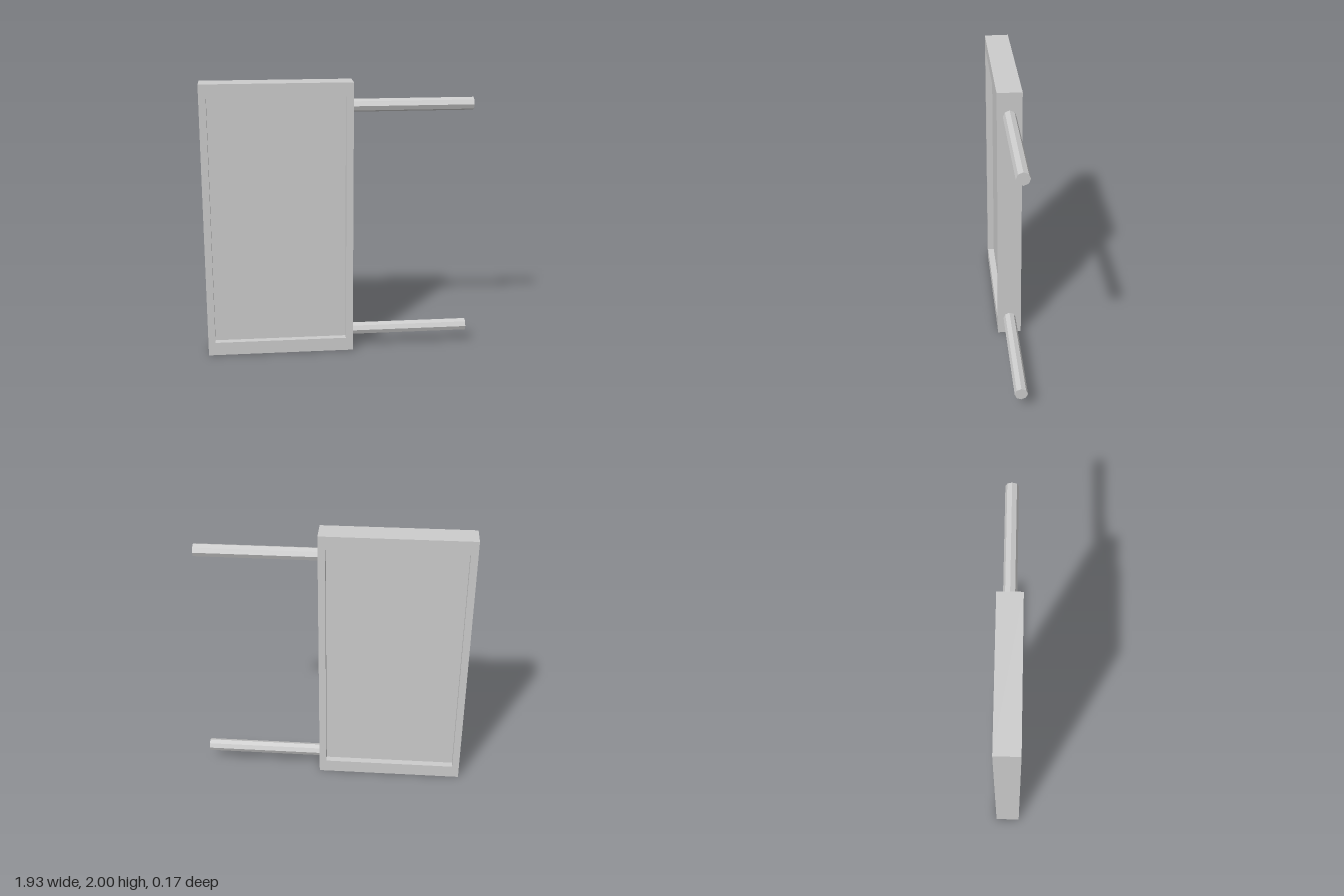
import * as THREE from 'three';

const material = new THREE.MeshStandardMaterial({ color: 0xcccccc, flatShading: true });

function addMesh(group, name, geometry, x, y, z = 0) {
  const mesh = new THREE.Mesh(geometry, material);
  mesh.name = name;
  mesh.position.set(x, y, z);
  group.add(mesh);
  return mesh;
}

// Closed rectangular outline around the origin
function rectangle(Type, w, h) {
  return new Type().setFromPoints([
    new THREE.Vector2(-w / 2, -h / 2), new THREE.Vector2(w / 2, -h / 2),
    new THREE.Vector2(w / 2, h / 2), new THREE.Vector2(-w / 2, h / 2),
  ]);
}

export function createModel() {
  const model = new THREE.Group();
  model.name = 'bracketMountedPanel';

  const depth = 0.174, recess = 0.048;
  const centerX = -0.43, width = 1.066;
  const openingW = 0.964, openingH = 1.804;

  // Rectangular frame, open front and back
  const outline = rectangle(THREE.Shape, width, 2);
  outline.holes.push(rectangle(THREE.Path, openingW, openingH));
  const frame = new THREE.ExtrudeGeometry(outline, { depth, bevelEnabled: false });
  addMesh(model, 'frame', frame, centerX, 1, -depth / 2);

  // Panel recessed on both faces
  addMesh(model, 'panel', new THREE.BoxGeometry(openingW, openingH, depth - 2 * recess), centerX, 1);

  // Two octagonal mounting rods projecting from the side
  const rodStart = 0.103, rodEnd = 0.963;
  for (const [name, y] of [['upperRod', 1.826], ['lowerRod', 0.137]]) {
    const rod = new THREE.CylinderGeometry(0.046, 0.046, rodEnd - rodStart, 8);
    rod.rotateZ(-Math.PI / 2);
    addMesh(model, name, rod, (rodStart + rodEnd) / 2, y);
  }
  return model;
}
